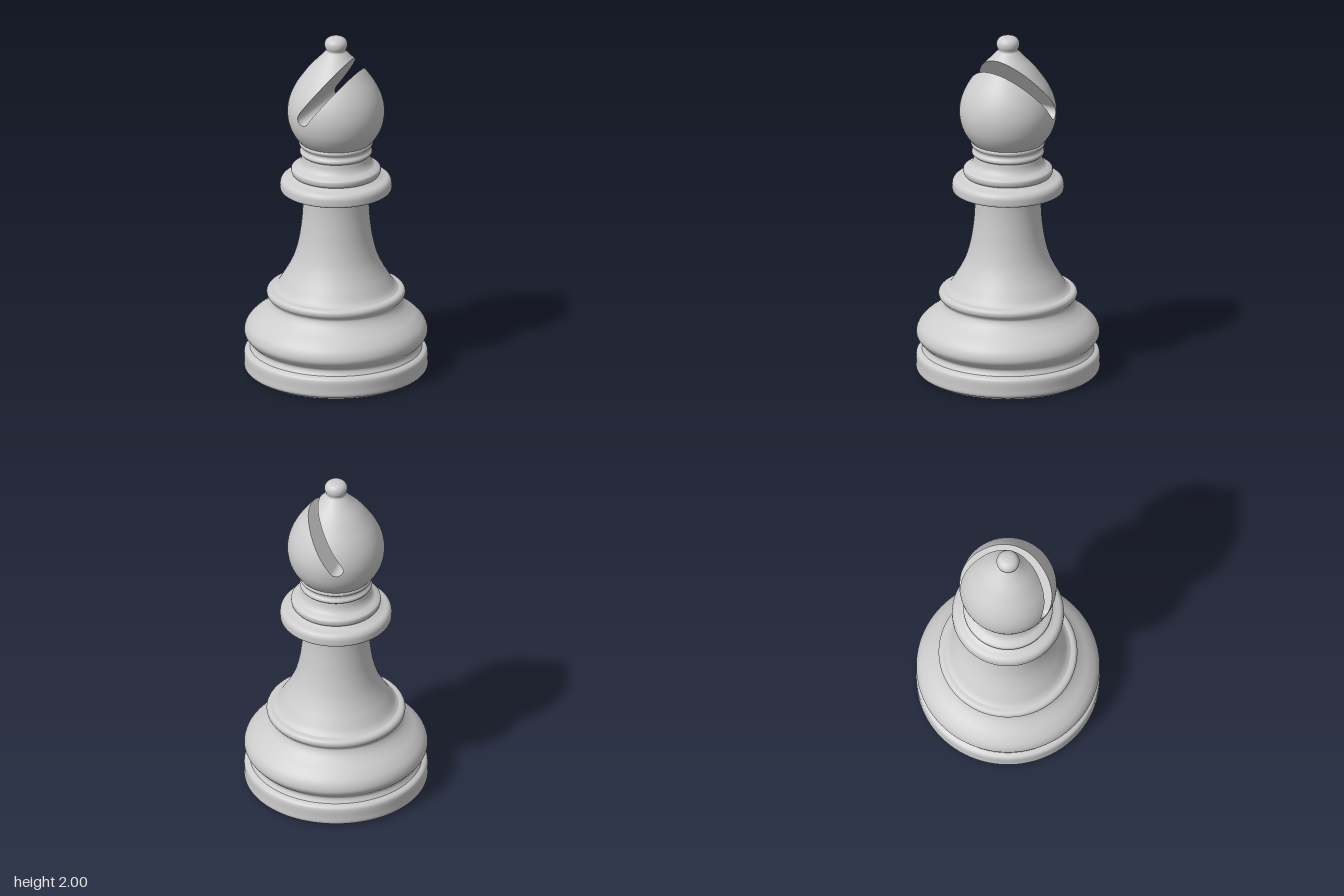
import * as THREE from 'three';

const V2 = (x, y) => new THREE.Vector2(x, y);
const toPoints = list => list.map(([r, y]) => V2(r, y));

// Turned part: profile of [radius, height] from bottom to top, optionally smoothed
function turned(name, profile, material, smooth = true) {
  let points = toPoints(profile);
  if (smooth) points = new THREE.SplineCurve(points).getPoints(profile.length * 5);
  points.forEach(p => { p.x = Math.max(0, p.x); });
  const mesh = new THREE.Mesh(new THREE.LatheGeometry(points, 96), material);
  mesh.name = name;
  return mesh;
}

// Head outline, used as a radius for any height
const headCurve = new THREE.SplineCurve(toPoints([
  [0.2, 1.37], [0.238, 1.42], [0.264, 1.48], [0.274, 1.555], [0.262, 1.63],
  [0.232, 1.7], [0.193, 1.76], [0.147, 1.82], [0.094, 1.875], [0.06, 1.913],
])).getPoints(300);
const Y0 = 1.37, Y1 = 1.913;
function headRadius(y) {
  if (y <= Y0) return 0.2 + (y - Y0) * 0.8;
  if (y >= Y1) return 0.06 - (y - Y1) * 0.8;
  const i = headCurve.findIndex(p => p.y >= y);
  const a = headCurve[Math.max(0, i - 1)], b = headCurve[Math.max(1, i)];
  return THREE.MathUtils.mapLinear(y, a.y, b.y, a.x, b.x);
}

// Slanted slot: round inner end, direction and half width
const slotEnd = V2(-0.086, 1.572), slotHalf = 0.0375;
const along = V2(0.604, 0.797).normalize(), across = V2(along.y, -along.x);

// Where a slot edge leaves the head
function edgeExit(start) {
  let lo = 0, hi = 0.5;
  for (let i = 0; i < 40; i++) {
    const mid = (lo + hi) / 2, p = start.clone().addScaledVector(along, mid);
    if (p.x < headRadius(p.y)) lo = mid; else hi = mid;
  }
  return start.clone().addScaledVector(along, lo);
}

// Matching points on the slot edge (inner) and the head silhouette (outer)
function headContours() {
  const left = slotEnd.clone().addScaledVector(across, -slotHalf);
  const right = slotEnd.clone().addScaledVector(across, slotHalf);
  const exitL = edgeExit(left), exitR = edgeExit(right);
  const inner = [], outer = [], lerp = THREE.MathUtils.lerp;
  const side = (sign, a, b) => t => {
    const y = lerp(a, b, t);
    return V2(sign * headRadius(y), y);
  };
  const leftEdge = (a, b) => t => exitL.clone().lerp(left, lerp(a, b, t));
  const roundEnd = t => slotEnd.clone()
    .addScaledVector(across, -slotHalf * Math.cos(Math.PI * t))
    .addScaledVector(along, -slotHalf * Math.sin(Math.PI * t));
  const stages = [
    [8, leftEdge(0, 0.1), side(1, exitL.y, Y1)],
    [10, leftEdge(0.1, 0.25), t => V2(lerp(0.06, -0.06, t), Y1)],
    [50, leftEdge(0.25, 1), side(-1, Y1, Y0)],
    [32, roundEnd, t => V2(-0.2 * Math.cos(Math.PI * t), Y0)],
    [46, t => right.clone().lerp(exitR, t), side(1, Y0, exitR.y)],
  ];
  stages.forEach(([n, p, q], s) => {
    for (let i = s ? 1 : 0; i <= n; i++) {
      inner.push(p(i / n));
      outer.push(q(i / n));
    }
  });
  return { inner, outer };
}

const depth = p => Math.sqrt(Math.max(0, headRadius(p.y) ** 2 - p.x ** 2));

function buildGeometry(positions, index, normals) {
  const g = new THREE.BufferGeometry();
  g.setAttribute('position', new THREE.Float32BufferAttribute(positions, 3));
  g.setIndex(index);
  if (normals) g.setAttribute('normal', new THREE.Float32BufferAttribute(normals, 3));
  else g.computeVertexNormals();
  return g;
}

// Round outside of the head, front and back halves running round the slot
function headShell({ inner, outer }) {
  const steps = 20, pos = [], nor = [], index = [];
  for (const sign of [1, -1]) {
    const base = pos.length / 3;
    inner.forEach((p, i) => {
      for (let j = 0; j <= steps; j++) {
        const q = p.clone().lerp(outer[i], Math.sin(j / steps * Math.PI / 2));
        const z = sign * depth(q), r = headRadius(q.y);
        const slope = (headRadius(q.y + 0.008) - headRadius(q.y - 0.008)) / 0.016;
        const n = new THREE.Vector3(q.x, -r * slope, z).normalize();
        pos.push(q.x, q.y, z);
        nor.push(n.x, n.y, n.z);
        if (i === 0 || j === 0) continue;
        const d = base + i * (steps + 1) + j, c = d - 1;
        const b = d - steps - 1, a = b - 1;
        if (sign > 0) index.push(a, b, d, a, d, c);
        else index.push(a, d, b, a, c, d);
      }
    });
  }
  return buildGeometry(pos, index, nor);
}

// Walls of the slot, spanning from the front surface to the back
function slotWalls({ inner }) {
  const pos = [], index = [];
  inner.forEach((p, i) => {
    const z = depth(p);
    pos.push(p.x, p.y, z, p.x, p.y, -z);
    if (i === 0) return;
    const a = 2 * i - 2;
    index.push(a, a + 2, a + 3, a, a + 3, a + 1);
  });
  return buildGeometry(pos, index);
}

export function createModel() {
  const model = new THREE.Group();
  model.name = 'chessBishop';
  const grey = new THREE.MeshStandardMaterial({ color: 0xcccccc });
  grey.name = 'pale grey';

  // Foot
  model.add(turned('underside', [[0, 0], [0.485, 0]], grey, false));
  model.add(turned('footRim', [[0.485, 0], [0.485, 0.012], [0.508, 0.014]], grey, false));
  model.add(turned('plinth', [
    [0.508, 0.014], [0.517, 0.028], [0.517, 0.06], [0.517, 0.105], [0.508, 0.124], [0.485, 0.135],
  ], grey));
  model.add(turned('baseBulge', [
    [0.485, 0.135], [0.474, 0.155], [0.475, 0.172], [0.495, 0.192], [0.514, 0.22], [0.515, 0.25],
    [0.5, 0.285], [0.465, 0.322], [0.42, 0.357], [0.386, 0.39], [0.37, 0.42], [0.375, 0.437],
    [0.388, 0.452], [0.39, 0.472], [0.378, 0.487], [0.352, 0.492],
  ], grey));

  // Stem
  model.add(turned('stem', [
    [0.352, 0.492], [0.33, 0.512], [0.3, 0.56], [0.265, 0.62], [0.234, 0.69], [0.21, 0.78],
    [0.196, 0.87], [0.188, 0.96], [0.188, 1.04], [0.196, 1.08],
  ], grey));

  // Collars
  model.add(turned('collarUnderside', [[0.196, 1.08], [0.3, 1.08]], grey, false));
  model.add(turned('wideCollar', [
    [0.3, 1.08], [0.313, 1.088], [0.315, 1.11], [0.312, 1.135], [0.297, 1.154], [0.265, 1.165], [0.242, 1.176],
  ], grey));
  model.add(turned('upperCollar', [
    [0.242, 1.176], [0.251, 1.19], [0.251, 1.212], [0.236, 1.224], [0.212, 1.238], [0.197, 1.262], [0.19, 1.295],
  ], grey));
  model.add(turned('neckRings', [
    [0.19, 1.295], [0.203, 1.306], [0.203, 1.318], [0.194, 1.332], [0.195, 1.345],
    [0.207, 1.357], [0.207, 1.371], [0.196, 1.38],
  ], grey));

  // Slotted head
  const contours = headContours();
  const head = new THREE.Group();
  head.name = 'head';
  const shell = new THREE.Mesh(headShell(contours), grey);
  shell.name = 'headShell';
  const walls = new THREE.Mesh(slotWalls(contours), grey);
  walls.name = 'slotWalls';
  head.add(shell, walls);
  model.add(head);

  // Top knob
  model.add(turned('knob', [
    [0.062, 1.908], [0.056, 1.918], [0.058, 1.928], [0.064, 1.945], [0.063, 1.967],
    [0.051, 1.986], [0.029, 1.997], [0, 2],
  ], grey));
  return model;
}
